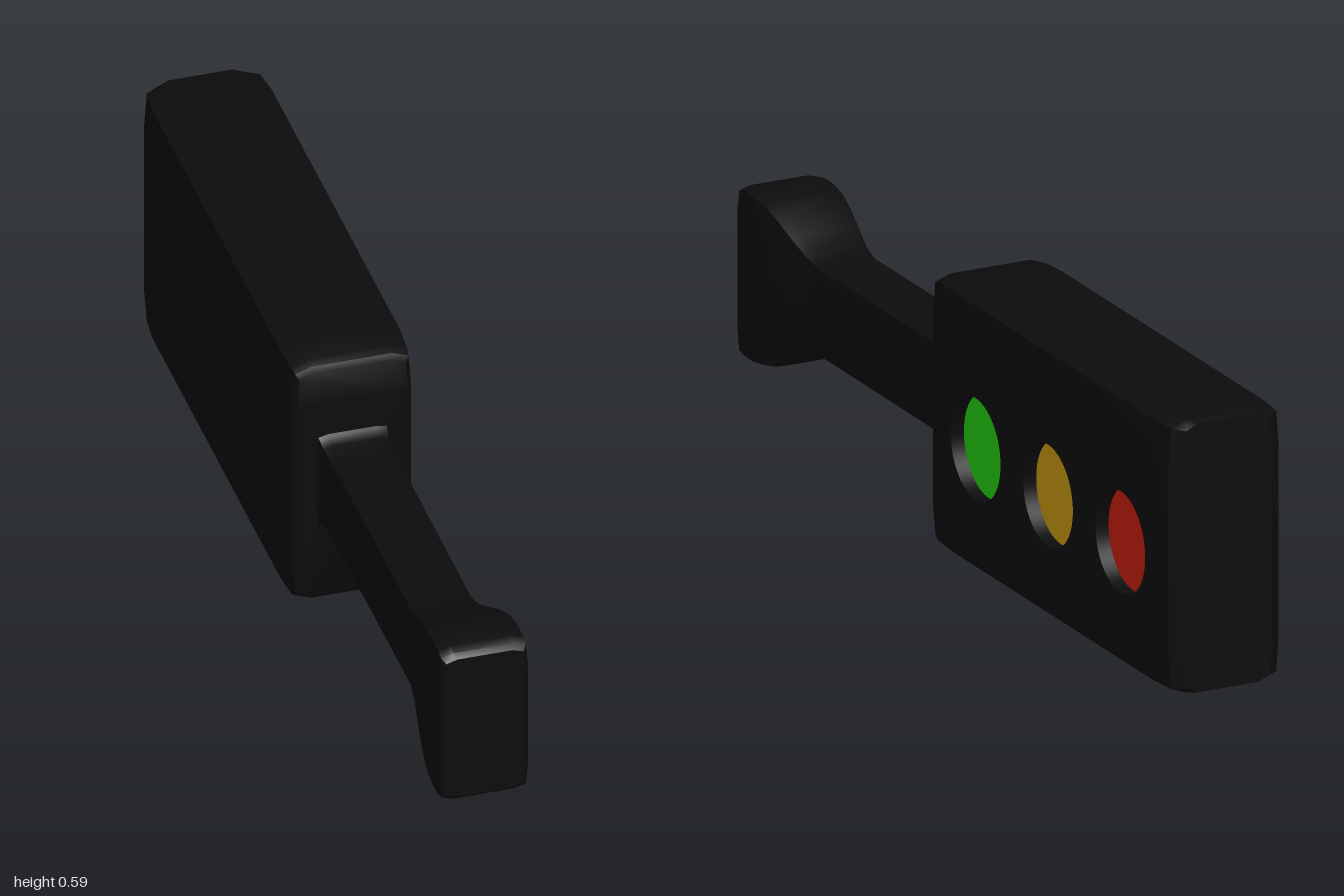
import * as THREE from 'three';
import { toCreasedNormals } from 'three/addons/utils/BufferGeometryUtils.js';

const black = new THREE.MeshStandardMaterial({ color: 0x0c0c0c });
const blackInside = new THREE.MeshStandardMaterial({ color: 0x0c0c0c, side: THREE.DoubleSide });

// Softened rectangle: twelve points, counter-clockwise seen from +z
function ring([z, hx, y0, y1]) {
  const h = y1 - y0, a = 0.022 * h, b = 0.15 * h;
  const right = [[hx, y1 - b], [0.955 * hx, y1 - a], [0.68 * hx, y1]];
  const top = [...right, ...right.map(([x, y]) => [-x, y]).reverse()];
  const bottom = top.map(([x, y]) => [-x, y0 + y1 - y]);
  return [...top, ...bottom].map(([x, y]) => [x, y, z]);
}

// Skin sections [z, half width, bottom, top]; openStart leaves out the +x strip after that section
function loft(sections, openStart = -1) {
  const rings = sections.map(ring), n = 12, pos = [];
  const tri = (...p) => p.forEach(v => pos.push(...v));
  for (let j = 0; j < rings.length - 1; j++) {
    for (let i = 0; i < n; i++) {
      if (j === openStart && i === n - 1) continue;
      const k = (i + 1) % n, a = rings[j], b = rings[j + 1];
      tri(a[i], a[k], b[k]);
      tri(a[i], b[k], b[i]);
    }
  }
  const first = rings[0], last = rings[rings.length - 1];
  for (let i = 1; i < n - 1; i++) {
    tri(first[0], first[i + 1], first[i]);
    tri(last[0], last[i], last[i + 1]);
  }
  const g = new THREE.BufferGeometry();
  g.setAttribute('position', new THREE.Float32BufferAttribute(pos, 3));
  return toCreasedNormals(g, 0.6);
}

function add(parent, name, geometry, material) {
  const mesh = new THREE.Mesh(geometry, material);
  mesh.name = name;
  parent.add(mesh);
  return mesh;
}

export function createModel() {
  const model = new THREE.Group();
  model.name = 'signalPaddle';
  const H = 0.587, W = 0.133, zBack = -0.92, zFront = -0.02;
  const lampY = 0.27, lampR = 0.11, depth = 0.03;

  // Housing
  add(model, 'housing', loft([
    [-1, 0.1, 0.004, H - 0.004], [-0.98, 0.126, 0, H], [zBack, W, 0, H],
    [zFront, W, 0, H], [0.045, 0.129, 0.002, H - 0.002],
    [0.063, 0.126, 0.009, H - 0.009], [0.07, 0.118, 0.022, H - 0.022],
  ], 2), black);

  // Lamp panel with three round openings
  const lamps = [['greenLamp', -0.14, 0x22cc11], ['amberLamp', -0.46, 0xc8960f], ['redLamp', -0.78, 0xc81e0f]];
  const b = 0.15 * H;
  const panel = new THREE.Shape([
    new THREE.Vector2(-zFront, b), new THREE.Vector2(-zBack, b),
    new THREE.Vector2(-zBack, H - b), new THREE.Vector2(-zFront, H - b),
  ]);
  for (const [, z] of lamps) panel.holes.push(new THREE.Path().absarc(-z, lampY, lampR, 0, Math.PI * 2, true));
  add(model, 'lampPanel', new THREE.ShapeGeometry(panel, 32).rotateY(Math.PI / 2).translate(W, 0, 0), black);

  // Recessed lamps
  for (const [name, z, color] of lamps) {
    const wall = new THREE.CylinderGeometry(lampR, lampR, depth, 64, 1, true).rotateZ(Math.PI / 2);
    add(model, name + 'Recess', wall, blackInside).position.set(W - depth / 2, lampY, z);
    const disc = new THREE.CircleGeometry(lampR, 64).rotateY(Math.PI / 2);
    add(model, name, disc, new THREE.MeshStandardMaterial({ color })).position.set(W - depth, lampY, z);
  }

  // Handle with a small collar at the housing and a flared end
  add(model, 'handle', loft([
    [0.06, 0.08, 0.175, 0.42], [0.075, 0.075, 0.19, 0.405], [0.095, 0.073, 0.199, 0.397],
    [0.15, 0.069, 0.2, 0.395], [0.69, 0.068, 0.2, 0.395], [0.73, 0.072, 0.189, 0.405],
    [0.78, 0.08, 0.164, 0.43], [0.83, 0.087, 0.137, 0.457], [0.88, 0.093, 0.119, 0.476],
    [0.93, 0.095, 0.111, 0.484], [0.97, 0.095, 0.113, 0.482],
    [0.99, 0.094, 0.118, 0.476], [1, 0.086, 0.128, 0.466],
  ]), black);

  return model;
}
